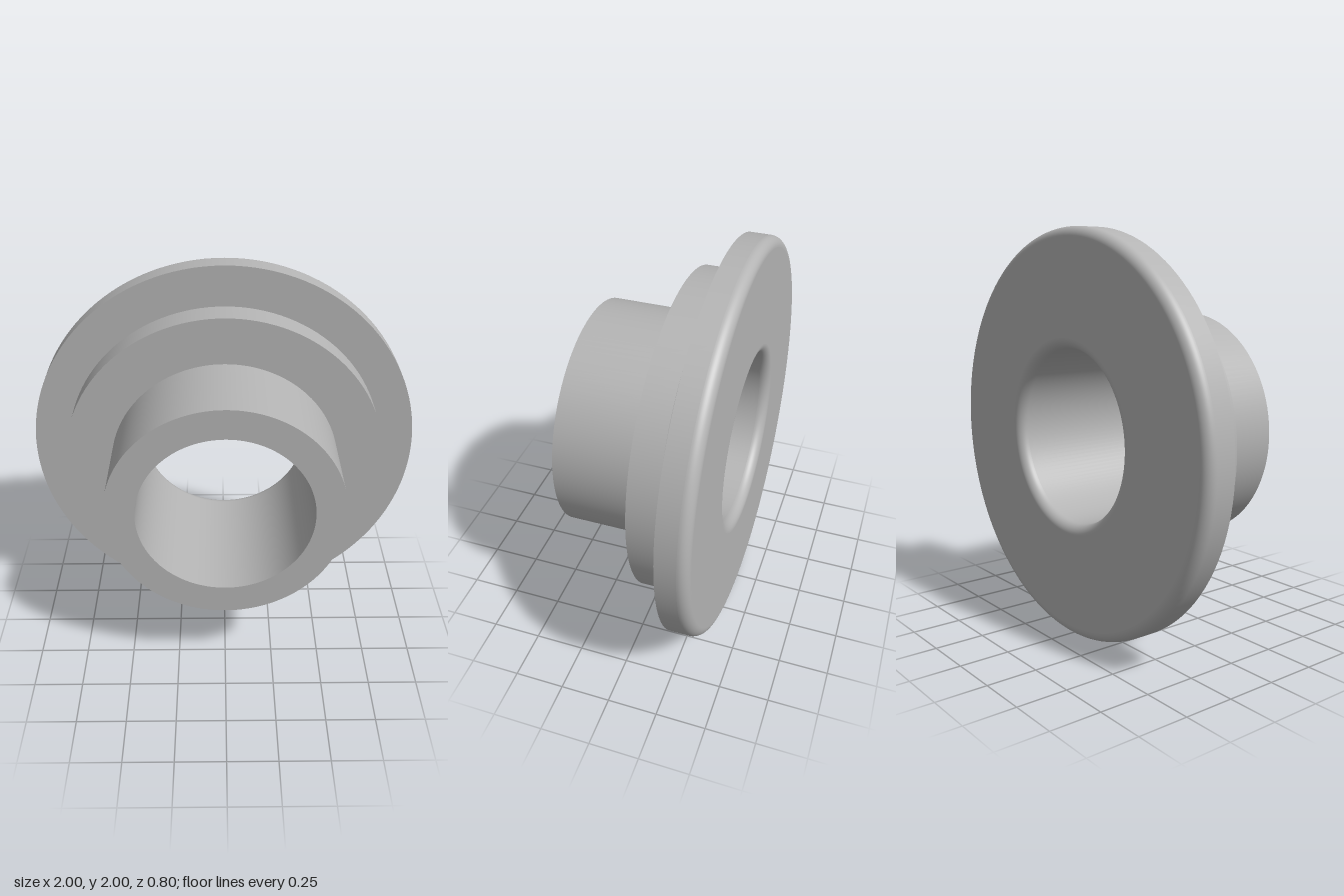
import * as THREE from 'three';

export function createModel() {
  const group = new THREE.Group();
  group.name = 'flangedBushing';
  const metal = new THREE.MeshStandardMaterial({ color: 0xb4b4b4 });
  metal.name = 'grey metal';

  // Radii and positions along the z axis
  const rBore = 0.43, rHub = 0.58, rGroove = 0.68, rShoulder = 0.815, rFlange = 1;
  const zBack = -0.4, zFlange = -0.25, zGroove = -0.2, zShoulder = -0.055, zFront = 0.4;
  const fillet = 0.05;

  // Turn a run of [radius, z] points around the z axis; each run has its own normals
  function turn(name, points, parent) {
    const geometry = new THREE.LatheGeometry(points.map(([r, z]) => new THREE.Vector2(r, z)), 128);
    geometry.rotateX(Math.PI / 2).translate(0, 1, 0);
    const mesh = new THREE.Mesh(geometry, metal);
    mesh.name = name;
    parent.add(mesh);
  }

  // Quarter-circle run for a rounded edge
  function arc(r, z, start) {
    return Array.from({ length: 13 }, (_, i) => {
      const a = start + (i / 12) * Math.PI / 2;
      return [r + fillet * Math.cos(a), z + fillet * Math.sin(a)];
    });
  }

  function part(name) {
    const g = new THREE.Group();
    g.name = name;
    group.add(g);
    return g;
  }

  // Back flange with rounded inner and outer edges
  const flange = part('flange');
  const zRound = zBack + fillet;
  turn('innerRoundedEdge', arc(rBore + fillet, zRound, Math.PI), flange);
  turn('flangeBackFace', [[rBore + fillet, zBack], [rFlange - fillet, zBack]], flange);
  turn('outerRoundedEdge', arc(rFlange - fillet, zRound, -Math.PI / 2), flange);
  turn('flangeRim', [[rFlange, zRound], [rFlange, zFlange]], flange);
  turn('flangeFrontFace', [[rFlange, zFlange], [rGroove, zFlange]], flange);

  // Narrow groove between flange and shoulder
  turn('groove', [[rGroove, zFlange], [rGroove, zGroove]], group);

  // Shoulder ring
  const shoulder = part('shoulder');
  turn('shoulderBackFace', [[rGroove, zGroove], [rShoulder, zGroove]], shoulder);
  turn('shoulderRim', [[rShoulder, zGroove], [rShoulder, zShoulder]], shoulder);
  turn('shoulderFrontFace', [[rShoulder, zShoulder], [rHub, zShoulder]], shoulder);

  // Hub tube and through bore
  const hub = part('hub');
  turn('hubWall', [[rHub, zShoulder], [rHub, zFront]], hub);
  turn('hubFrontFace', [[rHub, zFront], [rBore, zFront]], hub);
  turn('bore', [[rBore, zFront], [rBore, zRound]], hub);

  return group;
}
